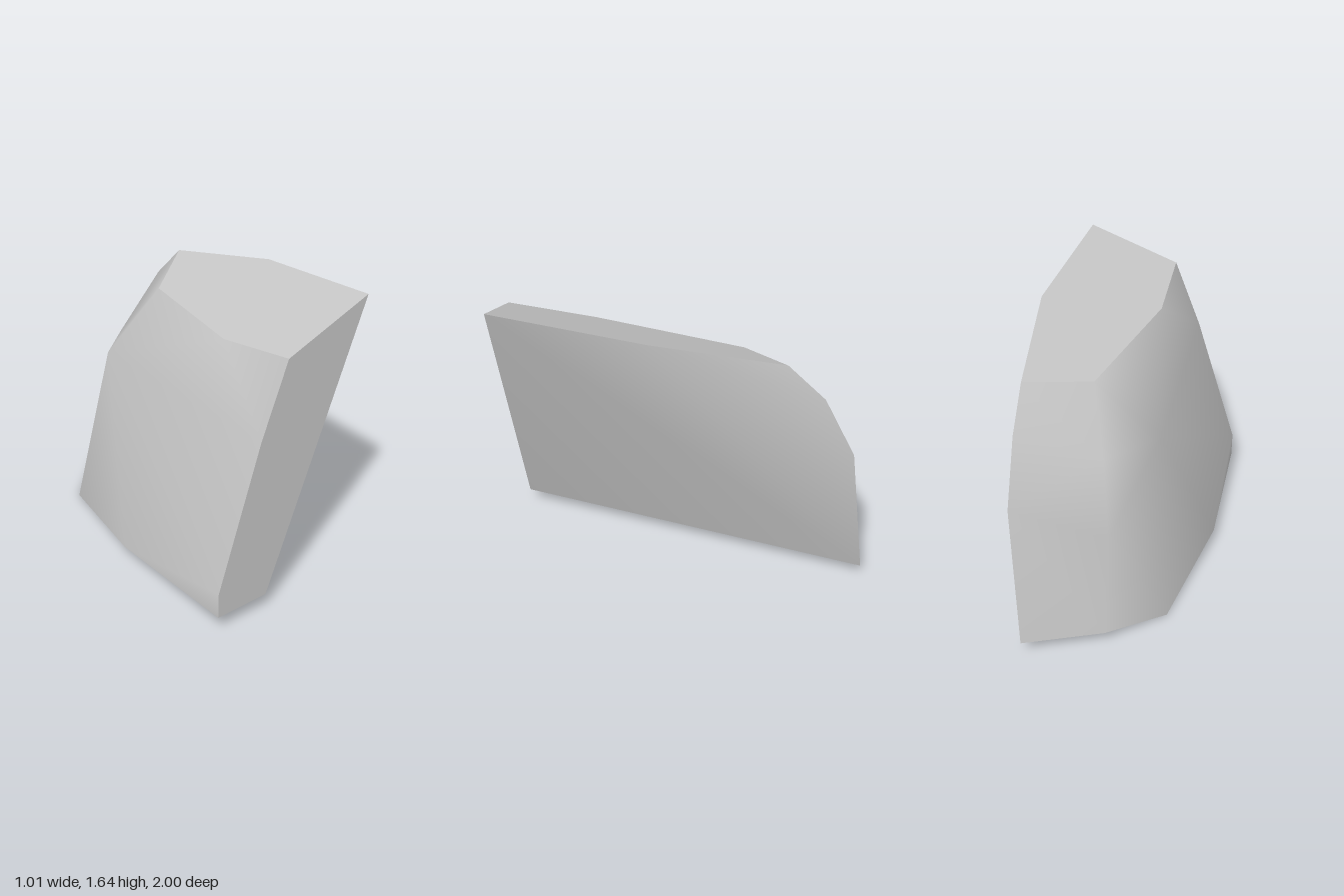
import * as THREE from 'three';

// Corners of the convex stone block
const P = {
  frontPeak: [0.41, 1.64, 1], frontTop: [-0.105, 1.44, 1], frontShoulder: [-0.26, 1.04, 1],
  frontHip: [-0.51, 0.245, 1], frontToe: [-0.51, 0.1, 1], frontHeel: [-0.19, 0.1, 1],
  topBulge: [0.505, 1.55, 0.17], topBack: [0.425, 1.417, -0.53],
  topInner: [0.1, 1.328, -0.3], topMid: [-0.105, 1.368, 0.52],
  rimHigh: [0.42, 1.22, -0.73], rimLow: [0.415, 0.88, -0.9], backFoot: [0.36, 0.08, -1],
  midFoot: [-0.06, 0.07, -0.82], midLow: [-0.05, 0.6, -0.67], midHigh: [0, 1.01, -0.54],
  ridge: [-0.26, 1.03, -0.3], ridgeFoot: [-0.35, 0, -0.53], sideFoot: [-0.51, 0.08, 0.18],
};
const CENTRE = new THREE.Vector3(0, 0.7, 0);

// Triangles wound to face away from the centre; smooth inside one surface
function surface(name, triangles, material, smooth) {
  const names = [...new Set(triangles.flat())];
  const v = (n) => new THREE.Vector3(...P[n]);
  const index = triangles.flatMap(([a, b, c]) => {
    const normal = v(b).sub(v(a)).cross(v(c).sub(v(a)));
    const outward = normal.dot(v(a).sub(CENTRE)) > 0;
    return (outward ? [a, b, c] : [a, c, b]).map((n) => names.indexOf(n));
  });
  let geometry = new THREE.BufferGeometry();
  geometry.setAttribute('position', new THREE.Float32BufferAttribute(names.flatMap((n) => P[n]), 3));
  geometry.setIndex(index);
  if (!smooth) geometry = geometry.toNonIndexed();
  geometry.computeVertexNormals();
  const mesh = new THREE.Mesh(geometry, material);
  mesh.name = name;
  return mesh;
}

// Triangles around the first corner
const fan = (hub, ...rim) => rim.slice(1).map((n, i) => [hub, rim[i], n]);

export function createModel() {
  const stone = new THREE.MeshStandardMaterial({ color: 0xc8c8c8 });
  stone.name = 'light grey stone';
  const model = new THREE.Group();
  model.name = 'rock';

  // Flat cut front
  model.add(surface('frontFace',
    fan('frontHeel', 'frontPeak', 'frontTop', 'frontShoulder', 'frontHip', 'frontToe'), stone, false));

  // Sloping flat top
  model.add(surface('topFace',
    fan('topMid', 'frontTop', 'frontPeak', 'topBulge', 'topBack', 'topInner'), stone, true));

  // Gently bent undercut side
  model.add(surface('undercutSide', [
    ['frontHeel', 'frontPeak', 'backFoot'],
    ...fan('topBulge', 'frontPeak', 'backFoot', 'rimLow', 'rimHigh', 'topBack'),
  ], stone, true));

  // Rounded wall running round the far side and back
  model.add(surface('roundedWall', [
    ['frontTop', 'topMid', 'frontShoulder'],
    ...fan('ridge', 'topInner', 'topMid', 'frontShoulder', 'frontHip', 'sideFoot', 'ridgeFoot',
      'midLow', 'midHigh', 'topInner'),
    ['frontToe', 'frontHip', 'sideFoot'],
    ...fan('midHigh', 'topInner', 'topBack', 'rimHigh', 'rimLow', 'midLow'),
    ...fan('midFoot', 'ridgeFoot', 'midLow', 'rimLow', 'backFoot'),
  ], stone, true));

  // Faceted underside
  model.add(surface('underside',
    fan('ridgeFoot', 'sideFoot', 'frontToe', 'frontHeel', 'backFoot', 'midFoot'), stone, false));

  return model;
}
